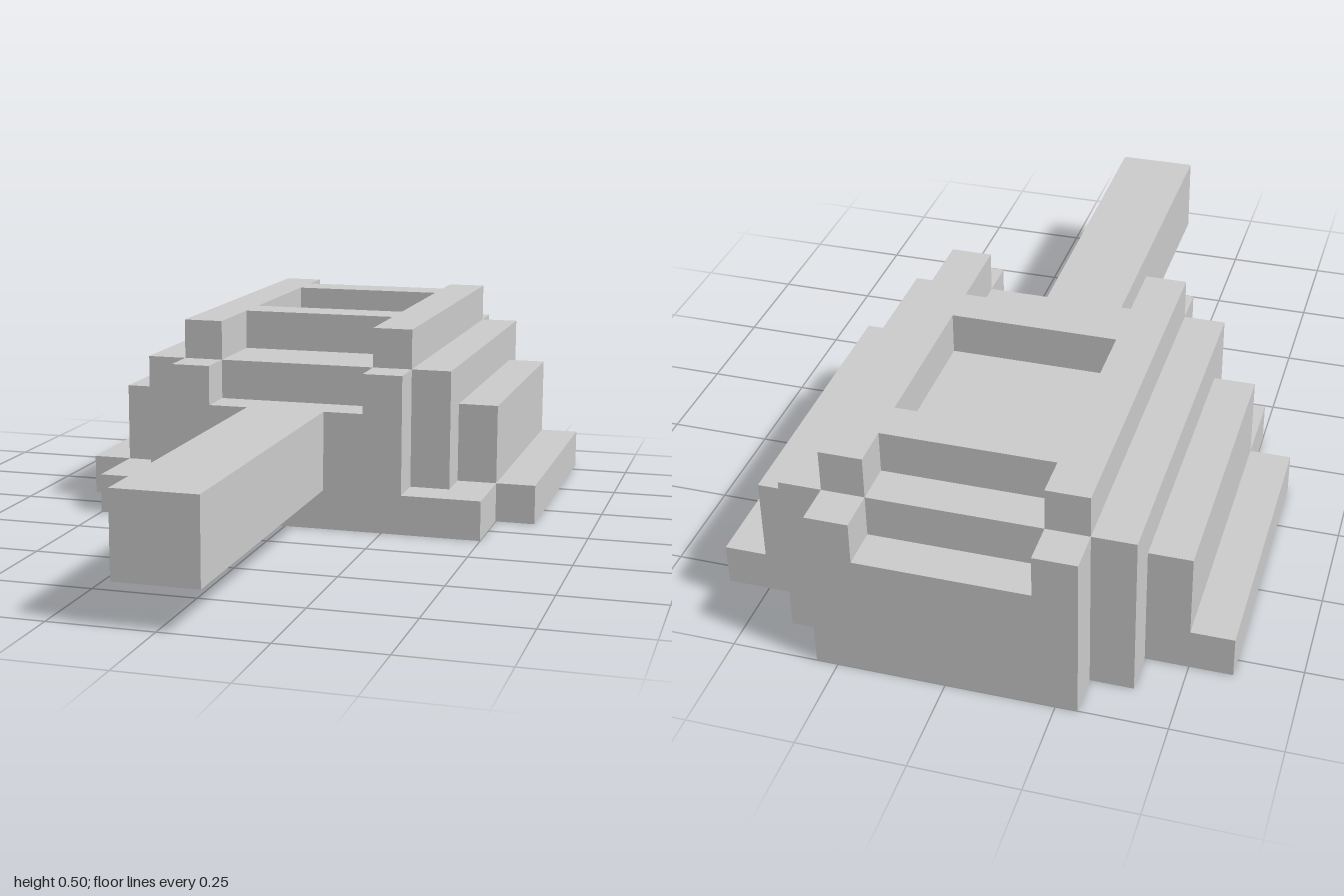
import * as THREE from 'three';

const material = new THREE.MeshStandardMaterial({ color: 0xcccccc, flatShading: true });

// Plan points [x, z] become shape points, so that a quarter turn lays them flat
const toPlan = (points) => points.map(([x, z]) => new THREE.Vector2(x, -z));

// One horizontal layer: the +x half of its outline, front to back, is mirrored and raised
function layer(name, bottom, top, half, hole) {
  const mirrored = half.map(([x, z]) => [-x, z]).reverse();
  const shape = new THREE.Shape(toPlan([...half, ...mirrored]));
  if (hole) shape.holes.push(new THREE.Path(toPlan(hole)));
  const geometry = new THREE.ExtrudeGeometry(shape, { depth: top - bottom, bevelEnabled: false });
  geometry.rotateX(-Math.PI / 2);
  const mesh = new THREE.Mesh(geometry, material);
  mesh.name = name;
  mesh.position.y = bottom;
  return mesh;
}

export function createModel() {
  const model = new THREE.Group();
  model.name = 'steppedBlockWithBeam';

  // Wide footing with side ledges and a front ledge
  model.add(layer('base', 0, 0.1, [
    [0.5, 0.1], [0.5, -0.1], [0.6, -0.1], [0.6, -0.8],
    [0.4, -0.8], [0.4, -0.9], [0.3, -0.9], [0.3, -1],
  ]));

  // Main body with stepped sides
  model.add(layer('body', 0.1, 0.3, [
    [0.3, 0.1], [0.3, 0], [0.4, 0], [0.4, -0.1], [0.5, -0.1],
    [0.5, -0.8], [0.4, -0.8], [0.4, -0.9], [0.3, -0.9], [0.3, -1],
  ]));

  // Upper body, cut back between the front and rear corner posts
  model.add(layer('upperBody', 0.3, 0.4, [
    [0.2, 0], [0.2, 0.1], [0.3, 0.1], [0.3, 0], [0.4, 0],
    [0.4, -0.9], [0.3, -0.9], [0.3, -1], [0.2, -1], [0.2, -0.9],
  ]));

  // Roof frame with a square recess and notched ends
  model.add(layer('roofFrame', 0.4, 0.5, [
    [0.2, -0.2], [0.2, 0], [0.3, 0], [0.3, -0.9], [0.2, -0.9], [0.2, -0.8],
  ], [[-0.2, -0.3], [-0.2, -0.7], [0.2, -0.7], [0.2, -0.3]]));

  // Long beam reaching forward
  const beam = new THREE.Mesh(new THREE.BoxGeometry(0.2, 0.2, 0.9), material);
  beam.name = 'beam';
  beam.position.set(0, 0.2, 0.55);
  model.add(beam);

  return model;
}
